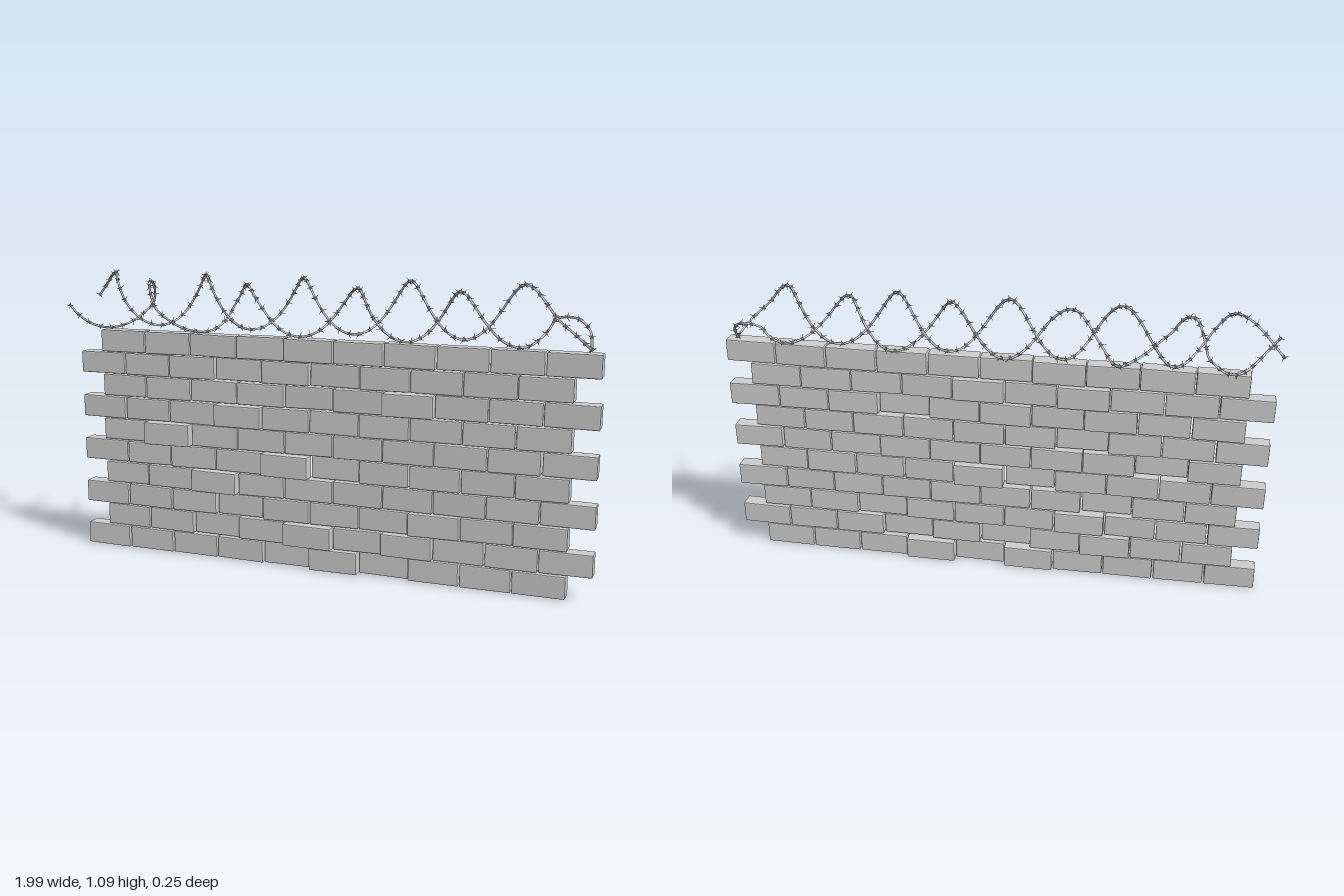
import * as THREE from 'three';
import { mergeGeometries } from 'three/addons/utils/BufferGeometryUtils.js';
import { RoundedBoxGeometry } from 'three/addons/geometries/RoundedBoxGeometry.js';

const stone = new THREE.MeshStandardMaterial({ color: 0xcccccc, flatShading: true });
const metal = new THREE.MeshStandardMaterial({ color: 0xcccccc });

// Small seeded generator, returns -1..1
function seeded(seed) {
  let s = seed;
  return () => {
    s = (s * 16807) % 2147483647;
    return (s / 2147483647) * 2 - 1;
  };
}

// Bricks pushed out of the wall, "row,column": z shift
const pushed = {
  '5,1': 0.03, '4,4': 0.022, '7,6': 0.021, '3,2': 0.02, '1,4': 0.025, '0,5': 0.014, '1,6': 0.014,
  '2,7': 0.012, '4,5': -0.02, '2,3': -0.012, '0,6': -0.016, '0,4': -0.012, '1,2': -0.014,
  '8,3': -0.014, '8,5': -0.012, '7,4': -0.01, '6,3': 0.016,
};

function buildWall() {
  const wall = new THREE.Group();
  wall.name = 'brickWall';
  const rand = seeded(4211);
  const rows = 10, columns = 10, pitchX = 0.189, pitchY = 0.0862;
  for (let r = 0; r < rows; r++) {
    const course = new THREE.Group();
    course.name = 'brickCourse';
    const start = r % 2 ? -0.9 : -0.99;
    for (let c = 0; c < columns; c++) {
      const geo = new RoundedBoxGeometry(0.185 + rand() * 0.003, 0.083 + rand() * 0.0015, 0.057, 1, 0.004);
      const brick = new THREE.Mesh(geo, stone);
      brick.name = 'brick';
      const shift = pushed[`${r},${c}`] ?? rand() * 0.003;
      brick.position.set(start + (c + 0.5) * pitchX, 0.047 + r * pitchY, 0.011 + shift);
      brick.rotation.set(rand() * 0.012, rand() * 0.01, rand() * 0.012);
      course.add(brick);
    }
    wall.add(course);
  }
  return wall;
}

// Coiled strand: xs are the stations of successive quarter turns
// (top, front, bottom, back), joined smoothly into one helix
function strandCurve(xs, firstQuarter, cy, ry, cz, rz, end) {
  const points = [];
  const steps = 4;
  for (let i = 0; i < xs.length; i++) {
    const last = i === xs.length - 1;
    for (let k = 0; k < (last ? 1 : steps); k++) {
      const t = k / steps;
      const a = (firstQuarter + i + t) * Math.PI / 2;
      const x = last ? xs[i] : THREE.MathUtils.lerp(xs[i], xs[i + 1], t);
      points.push(new THREE.Vector3(x, cy + ry * Math.cos(a), cz + rz * Math.sin(a)));
    }
  }
  points.push(...end);
  return new THREE.CatmullRomCurve3(points, false, 'centripetal');
}

// One barb: a wrapped collar with four slanted spikes, wire along local z
function barbGeometry() {
  const parts = [];
  for (const z of [-0.0035, 0.0035]) parts.push(new THREE.TorusGeometry(0.0045, 0.002, 4, 8).translate(0, 0, z));
  for (let i = 0; i < 4; i++) {
    const spike = new THREE.ConeGeometry(0.0022, 0.018, 5);
    spike.translate(0, 0.011, 0);
    spike.rotateX(i % 2 ? 0.5 : -0.5);
    spike.rotateZ(i * Math.PI / 2 + 0.4);
    parts.push(spike);
  }
  return mergeGeometries(parts);
}

function buildStrand(curve, seed) {
  const strand = new THREE.Group();
  strand.name = 'barbedStrand';
  const wire = new THREE.Mesh(new THREE.TubeGeometry(curve, 400, 0.0042, 6), metal);
  wire.name = 'wire';
  strand.add(wire);

  // Barbs spaced evenly along the wire, each at its own roll
  const rand = seeded(seed);
  const barb = barbGeometry();
  const count = Math.round(curve.getLength() / 0.047);
  const dummy = new THREE.Object3D();
  const placed = [];
  for (let i = 0; i <= count; i++) {
    const u = i / count;
    const p = curve.getPointAt(u);
    dummy.position.copy(p);
    dummy.lookAt(p.clone().add(curve.getTangentAt(u)));
    dummy.rotateZ(rand() * Math.PI);
    dummy.updateMatrix();
    placed.push(barb.clone().applyMatrix4(dummy.matrix));
  }
  const barbs = new THREE.Mesh(mergeGeometries(placed), metal);
  barbs.name = 'barbs';
  strand.add(barbs);
  return strand;
}

export function createModel() {
  const model = new THREE.Group();
  model.name = 'wallWithBarbedWire';
  model.add(buildWall());

  // Two strands half a turn apart, meeting at the right-hand end
  const coil = new THREE.Group();
  coil.name = 'barbedWireCoil';
  const v = (x, y, z) => new THREE.Vector3(x, y, z);
  const upper = [-0.985, -0.85, -0.76, -0.66, -0.57, -0.47, -0.37, -0.28, -0.18, -0.08,
    0.02, 0.12, 0.22, 0.32, 0.42, 0.52, 0.62, 0.72, 0.84];
  const lower = [-0.985, -0.87, -0.745, -0.7, -0.62, -0.47, -0.4, -0.3, -0.18, -0.08,
    0.02, 0.13, 0.22, 0.32, 0.41, 0.5, 0.61, 0.72, 0.81];
  coil.add(buildStrand(strandCurve(upper, -1, 0.983, 0.097, -0.01, 0.097,
    [v(0.91, 0.92, 0.07), v(0.945, 0.875, 0.01)]), 77));
  coil.add(buildStrand(strandCurve(lower, 1, 0.96, 0.09, 0.003, 0.105,
    [v(0.88, 0.965, -0.09), v(0.93, 0.93, -0.05), v(0.945, 0.875, 0.0)]), 913));
  model.add(coil);
  return model;
}
